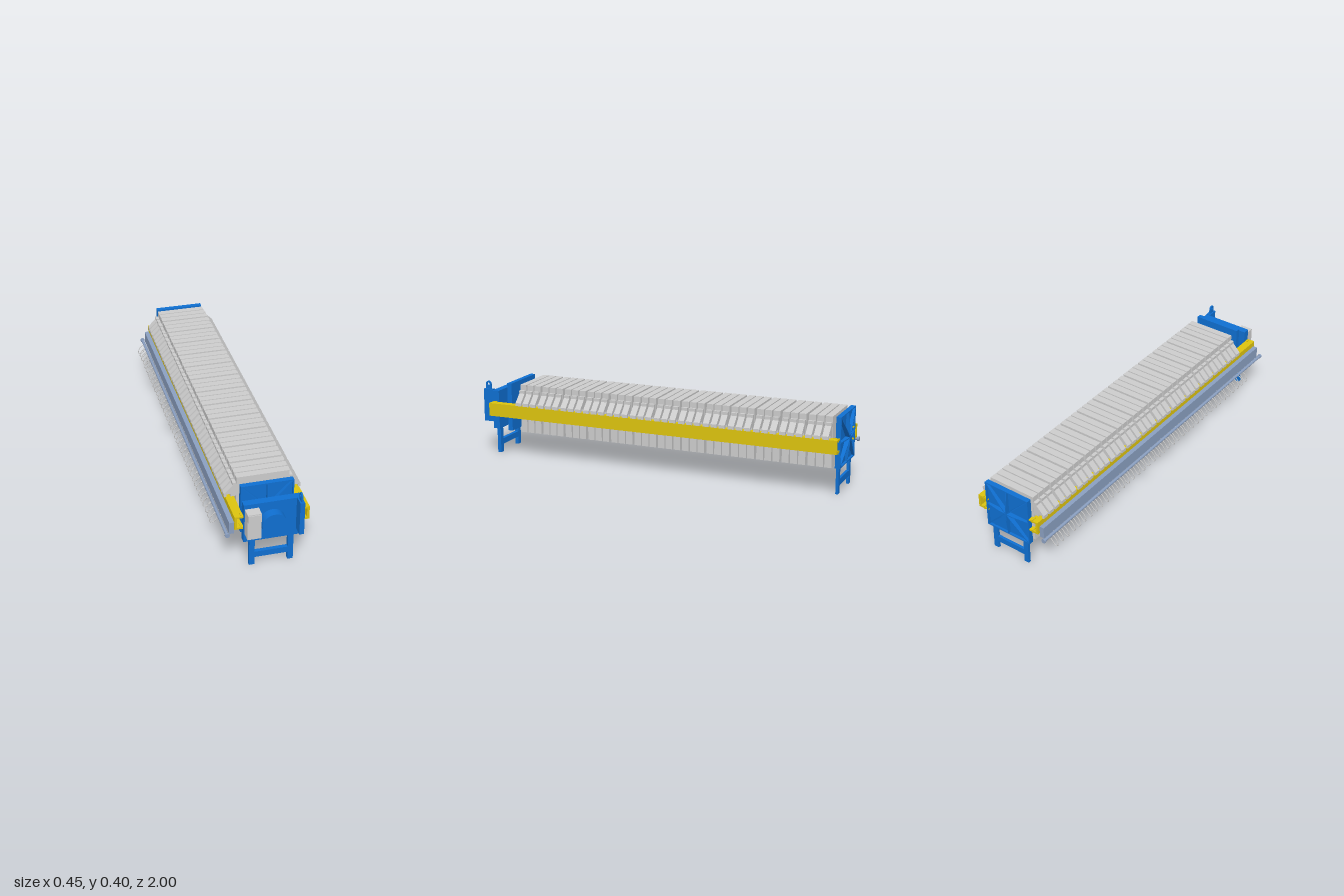
import * as THREE from 'three';

const mat = (color) => new THREE.MeshStandardMaterial({ color });
const CX = 0.033; // the press body sits off-centre because of the side pipework
const CY = 0.267; // middle of the square plates

export function createModel() {
  const model = new THREE.Group();
  const grey = mat(0xcccccc), blue = mat(0x0f6fd1), yellow = mat(0xdcc30f), steel = mat(0x8a9fc0);

  const add = (name, geometry, material, parent = model) => {
    const mesh = new THREE.Mesh(geometry, material);
    mesh.name = name;
    parent.add(mesh);
    return mesh;
  };
  // box given by its limits on each axis
  const box = (name, m, [x0, x1], [y0, y1], [z0, z1], parent) => {
    const b = add(name, new THREE.BoxGeometry(x1 - x0, y1 - y0, z1 - z0), m, parent);
    b.position.set((x0 + x1) / 2, (y0 + y1) / 2, (z0 + z1) / 2);
    return b;
  };
  // cylinder along z
  const rod = (name, m, x, y, r, z0, z1, sides = 32) => {
    const c = add(name, new THREE.CylinderGeometry(r, r, z1 - z0, sides).rotateX(Math.PI / 2), m);
    c.position.set(x, y, (z0 + z1) / 2);
    return c;
  };
  const extrude = (points, depth) => new THREE.ExtrudeGeometry(
    new THREE.Shape(points.map(([x, y]) => new THREE.Vector2(x, y))), { depth, bevelEnabled: false });

  // ---- filter plates: square body with a hooked ear on each side ----
  const ear = [[0.125, 0.293], [0.157, 0.293], [0.157, 0.308], [0.177, 0.308], [0.177, 0.293],
    [0.189, 0.293], [0.189, 0.31], [0.147, 0.353], [0.147, 0.368], [0.125, 0.368]];
  const plateCount = 39, zFront = 0.786, zBack = -0.952;
  const pitch = (zFront - zBack) / plateCount;
  const rightEar = extrude(ear, 0.032);
  const leftEar = extrude(ear.map(([x, y]) => [-x, y]), 0.032);
  const plateBody = new THREE.BoxGeometry(0.26, 0.26, 0.036);

  // drain hose from each plate down to the collecting pipe
  const hosePath = new THREE.CatmullRomCurve3([
    [-0.09, 0.203], [-0.13, 0.198], [-0.165, 0.184], [-0.184, 0.171], [-0.2, 0.152], [-0.213, 0.146],
    [-0.222, 0.156], [-0.215, 0.18], [-0.204, 0.194], [-0.186, 0.202],
  ].map(([x, y]) => new THREE.Vector3(x, y, 0)));
  const hoseGeometry = new THREE.TubeGeometry(hosePath, 32, 0.0022, 6);

  for (let i = 0; i < plateCount; i++) {
    const plate = new THREE.Group();
    plate.name = 'filterPlate';
    plate.position.z = zFront - pitch * (i + 0.5) + (i % 3 - 1) * 0.002;
    add('plateBody', plateBody, grey, plate).position.set(CX, CY, 0);
    for (const g of [rightEar, leftEar]) add('plateEar', g, grey, plate).position.set(CX, 0, -0.016);
    add('drainHose', hoseGeometry, grey, plate);
    model.add(plate);
  }

  // ---- side beams: channels opening inwards ----
  const channel = [[0.14, 0.222], [0.182, 0.222], [0.182, 0.292], [0.14, 0.292],
    [0.14, 0.283], [0.17, 0.283], [0.17, 0.232], [0.14, 0.232]];
  for (const s of [1, -1]) {
    const beam = add('sideBeam', extrude(channel.map(([x, y]) => [s * x, y]), 1.93), yellow);
    beam.position.set(CX, 0, -0.985);
    // mounting tabs at the beam ends
    for (const z of [0.925, -0.972]) for (const y of [0.227, 0.287]) {
      const tab = add('beamTab', new THREE.BoxGeometry(0.03, 0.008, 0.026), yellow);
      tab.position.set(CX + s * 0.138, y, z);
      const cleat = add('beamCleat', new THREE.BoxGeometry(0.006, 0.018, 0.026), yellow);
      cleat.position.set(CX + s * 0.15, y, z);
    }
  }

  // ---- ribbed pressure plates: rim and star of tapering ribs on the +z side ----
  const ribbedPlate = (name, z, base, rim, peak) => {
    const g = new THREE.Group();
    g.name = name;
    g.position.set(CX, CY, z);
    box('basePlate', blue, [-0.13, 0.13], [-0.13, 0.13], [0, base], g);
    for (let k = 0; k < 4; k++) {
      const side = new THREE.Group();
      side.rotation.z = k * Math.PI / 2;
      box('rim', blue, [-0.13, 0.13], [0.124, 0.13], [base, rim], side);
      g.add(side);
    }
    for (let k = 0; k < 8; k++) {
      const length = k % 2 ? 0.176 : 0.127;
      const profile = extrude([[0, base], [length, base], [length, rim], [0.04, peak], [0, peak]], 0.005);
      profile.translate(0, 0, -0.0025).rotateX(Math.PI / 2);
      add('rib', profile, blue, g).rotation.z = k * Math.PI / 4;
    }
    model.add(g);
    return g;
  };
  ribbedPlate('followerPlate', 0.834, 0.014, 0.026, 0.032);
  ribbedPlate('tailPlate', -0.963, 0.014, 0.026, 0.037).rotation.y = Math.PI;

  // ---- head with hydraulic cylinder, ram and control box ----
  box('headPlate', blue, [-0.105, 0.173], [0.143, 0.353], [0.908, 0.945]);
  rod('hydraulicCylinder', blue, CX, 0.248, 0.061, 0.945, 0.99, 48);
  rod('ram', blue, CX, 0.248, 0.014, 0.86, 0.91);
  rod('ramFlange', blue, CX, 0.248, 0.045, 0.864, 0.874);
  box('controlBox', grey, [-0.1, -0.033], [0.19, 0.33], [0.945, 0.995]);
  box('controlBoxLid', grey, [-0.096, -0.037], [0.195, 0.325], [0.995, 0.998]);
  box('headColumn', blue, [0.15, 0.173], [0.18, 0.357], [0.945, 1.0]);

  // lifting lug with an eye
  const lug = new THREE.Shape();
  lug.moveTo(-0.018, 0.355).lineTo(0.018, 0.355).lineTo(0.016, 0.384);
  lug.absarc(0, 0.384, 0.016, 0, Math.PI, false);
  lug.closePath();
  lug.holes.push(new THREE.Path().absarc(0, 0.384, 0.008, 0, Math.PI * 2, true));
  const lugMesh = add('liftingLug', new THREE.ExtrudeGeometry(lug, { depth: 0.008, bevelEnabled: false }), blue);
  lugMesh.rotation.y = Math.PI / 2;
  lugMesh.position.set(0.157, 0, 0.975);

  // ---- stands at both ends ----
  for (const z of [[0.922, 0.942], [-0.978, -0.964]]) {
    for (const s of [1, -1]) {
      const x = CX + s * 0.095;
      box('standLeg', blue, [x - 0.0135, x + 0.0135], [0, 0.145], z);
    }
    box('standCrossbar', blue, [CX - 0.082, CX + 0.082], [0.042, 0.073], z);
  }

  // ---- collecting trough and pipe on the right side ----
  box('sideTrough', steel, [-0.173, -0.149], [0.2, 0.262], [-0.97, 0.94]);
  rod('collectingPipe', steel, -0.185, 0.202, 0.008, -0.99, 0.955, 20);
  for (const z of [-0.99, 0.947]) rod('pipeFlange', steel, -0.185, 0.202, 0.0115, z, z + 0.01, 20);

  return model;
}
